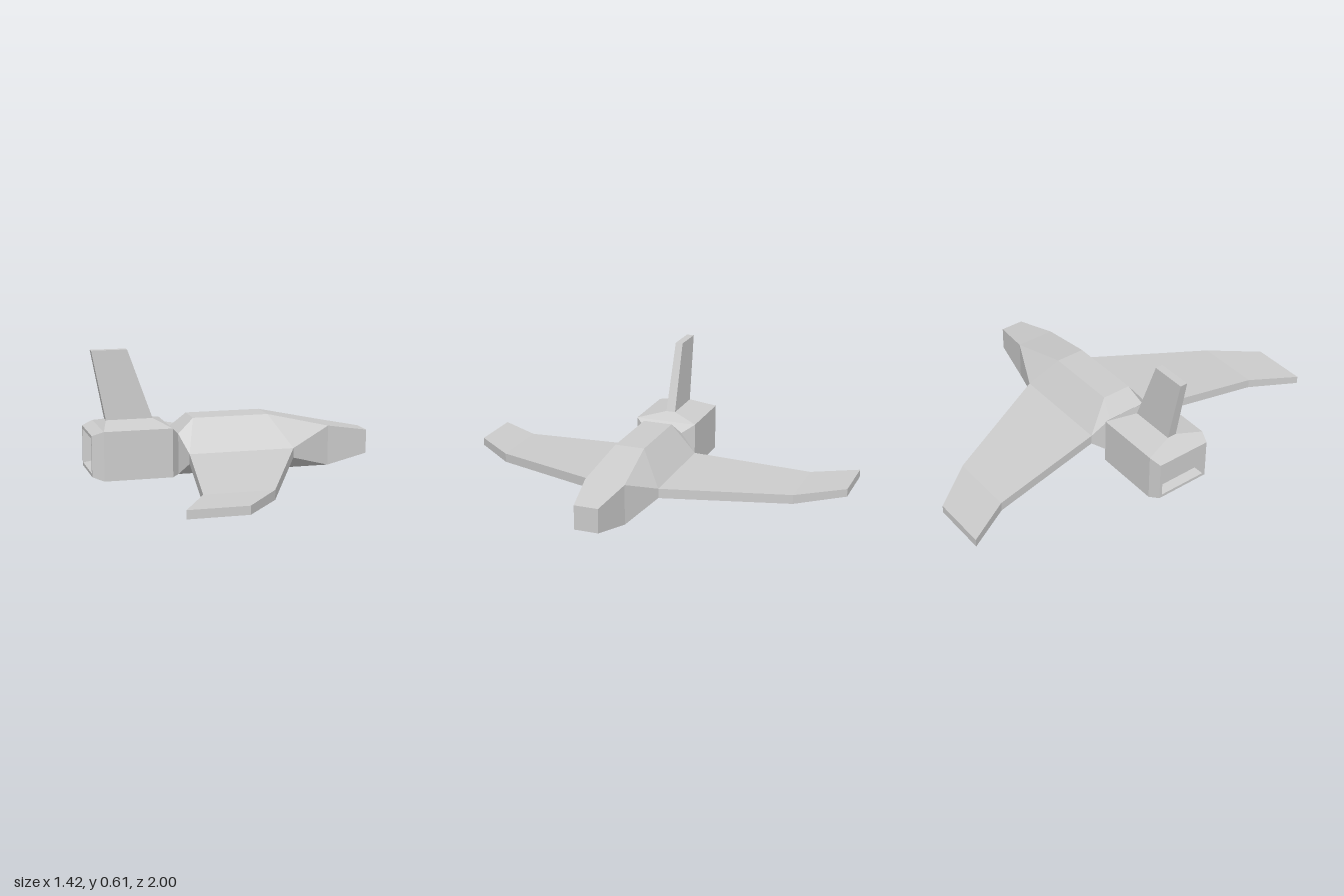
import * as THREE from 'three';

// Joins rings of equal point count into a closed, flat-faced solid facing outward.
function loft(rings) {
  const tris = [];
  const add = (a, b, c) => {
    const [p, q, r] = [a, b, c].map((v) => new THREE.Vector3(...v));
    if (new THREE.Triangle(p, q, r).getArea() > 1e-7) tris.push([p, q, r]);
  };
  const n = rings[0].length;
  for (let i = 0; i < rings.length - 1; i++) {
    const A = rings[i], B = rings[i + 1];
    for (let j = 0; j < n; j++) {
      const k = (j + 1) % n;
      add(A[j], A[k], B[k]);
      add(A[j], B[k], B[j]);
    }
  }
  const first = rings[0], last = rings[rings.length - 1];
  for (let j = 1; j < n - 1; j++) {
    add(first[0], first[j + 1], first[j]);
    add(last[0], last[j], last[j + 1]);
  }
  // Turn all faces round if the enclosed volume comes out negative.
  let volume = 0;
  for (const [a, b, c] of tris) volume += a.dot(b.clone().cross(c));
  if (volume < 0) tris.forEach((t) => t.reverse());
  const geometry = new THREE.BufferGeometry().setFromPoints(tris.flat());
  geometry.computeVertexNormals();
  return geometry;
}

// Rectangle across the x axis.
const acrossX = (x, z, y0, y1) => [[x, y0, z], [x, y1, z], [x, y1, -z], [x, y0, -z]];
// Rectangle at a fixed height.
const atHeight = (y, x0, x1, z) => [[x0, y, z], [x1, y, z], [x1, y, -z], [x0, y, -z]];
// Completes a half ring with its mirror image in z.
const mirrored = (half) => [...half, ...half.map(([x, y, z]) => [x, y, -z]).reverse()];

export function createModel() {
  const group = new THREE.Group();
  const grey = new THREE.MeshStandardMaterial({ color: 0xcccccc, flatShading: true });
  grey.name = 'hull grey';
  const part = (name, rings) => {
    const mesh = new THREE.Mesh(loft(rings), grey);
    mesh.name = name;
    group.add(mesh);
  };

  // Fuselage: each half ring runs bottom, lower side, upper side, top.
  const square = (x, z, y0, y1) => mirrored([[x, y0, z], [x, y0, z], [x, y1, z], [x, y1, z]]);
  part('fuselage', [
    square(0.71, 0.06, 0.04, 0.16),
    square(0.49, 0.1, 0, 0.2),
    mirrored([[0.28, 0, 0.1], [0.28, 0.067, 0.187], [0.28, 0.115, 0.187], [0.18, 0.27, 0.075]]),
    mirrored([[-0.28, 0, 0.1], [-0.245, 0.067, 0.187], [-0.245, 0.115, 0.187], [-0.2, 0.27, 0.075]]),
    square(-0.28, 0.1, 0, 0.2),
  ]);

  // Engine housing, ending in a shallow exhaust recess.
  part('engineHousing', [
    acrossX(-0.28, 0.1, 0, 0.2),
    acrossX(-0.32, 0.16, 0, 0.24),
    acrossX(-0.655, 0.16, 0, 0.24),
    acrossX(-0.71, 0.14, 0.02, 0.22),
    acrossX(-0.71, 0.125, 0.035, 0.205),
    acrossX(-0.665, 0.115, 0.045, 0.195),
  ]);

  // Hipped roof of the engine rising into the tail fin.
  part('tailFin', [
    atHeight(0.24, -0.655, -0.32, 0.16),
    atHeight(0.27, -0.62, -0.39, 0.024),
    atHeight(0.61, -0.685, -0.51, 0.019),
  ]);

  // Wings, drooping outward with swept tips.
  for (const [name, s] of [['frontWing', 1], ['backWing', -1]]) {
    const section = (z, x0, x1, y0, y1) =>
      [[x0, y0, s * z], [x1, y0, s * z], [x1, y1, s * z], [x0, y1, s * z]];
    part(name, [
      section(0.187, -0.245, 0.28, 0.067, 0.115),
      section(0.775, -0.33, 0, 0.018, 0.064),
      section(1, -0.46, -0.18, 0.021, 0.061),
    ]);
  }
  return group;
}
